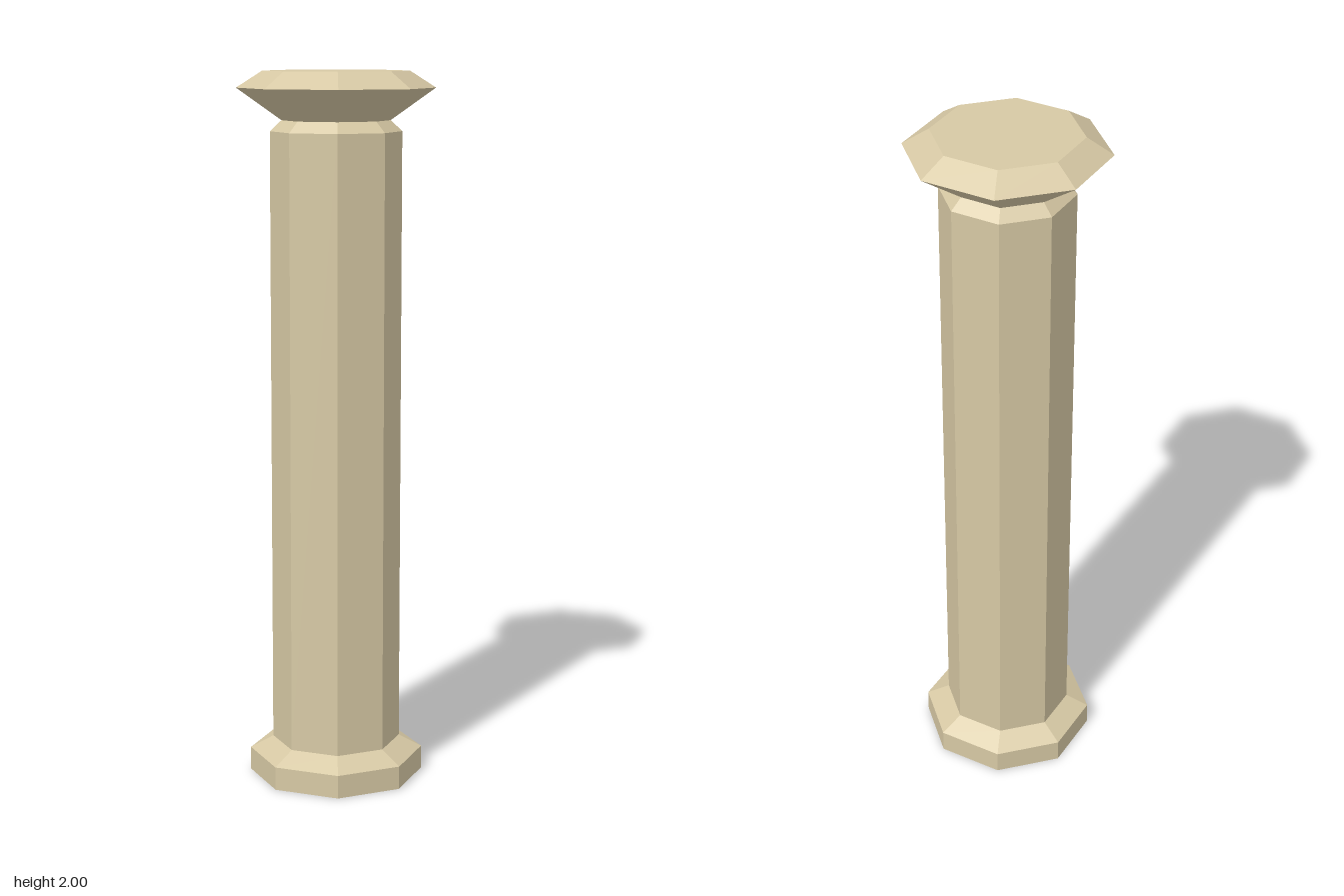
import * as THREE from 'three';

const SIDES = 8;

export function createModel() {
  const column = new THREE.Group();
  column.name = 'column';
  const stone = new THREE.MeshStandardMaterial({ color: 0xd6c8a4, flatShading: true });
  stone.name = 'sandstone';

  // One octagonal ring of faces between two heights
  function band(name, r0, y0, r1, y1) {
    const geo = new THREE.CylinderGeometry(r1, r0, y1 - y0, SIDES, 1, true);
    const mesh = new THREE.Mesh(geo, stone);
    mesh.name = name;
    mesh.position.y = (y0 + y1) / 2;
    column.add(mesh);
  }

  // Octagonal end face, looking up (1) or down (-1)
  function endFace(name, r, y, dir) {
    const mesh = new THREE.Mesh(new THREE.CircleGeometry(r, SIDES), stone);
    mesh.name = name;
    mesh.rotation.x = -dir * Math.PI / 2;
    mesh.position.y = y;
    column.add(mesh);
  }

  // Base
  endFace('baseUnderside', 0.247, 0, -1);
  band('basePlinth', 0.247, 0, 0.247, 0.066);
  band('baseChamfer', 0.247, 0.066, 0.182, 0.101);

  // Shaft
  band('shaft', 0.182, 0.101, 0.182, 1.836);
  band('neck', 0.182, 1.836, 0.15, 1.866);

  // Capital
  band('capitalFlare', 0.15, 1.866, 0.274, 1.954);
  band('capitalBevel', 0.274, 1.954, 0.202, 2);
  endFace('capitalTop', 0.202, 2, 1);

  return column;
}
